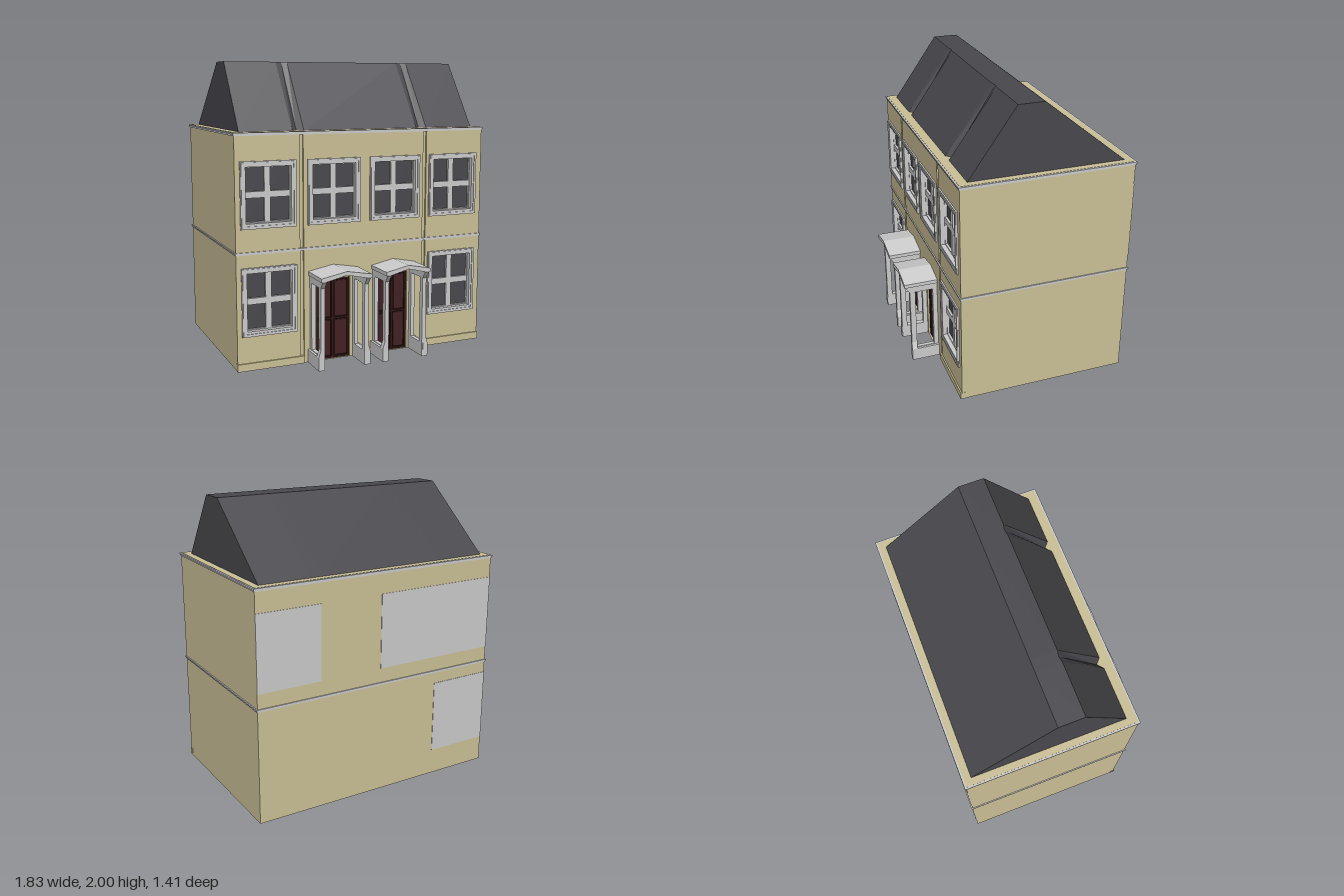
import * as THREE from 'three';

const mat = (name, color) => {
  const m = new THREE.MeshStandardMaterial({ color });
  m.name = name;
  return m;
};

export function createModel() {
  const house = new THREE.Group();
  house.name = 'terraceHouses';
  const render = mat('creamRender', 0xcbc097);
  const slate = mat('darkSlate', 0x49484d);
  const trim = mat('paleGreyTrim', 0xcccccc);
  const doorRed = mat('darkRedDoor', 0x422022);
  const doorDark = mat('doorFrameRed', 0x2e1416);
  slate.side = THREE.DoubleSide;

  const add = (parent, name, geo, material) => {
    const m = new THREE.Mesh(geo, material);
    m.name = name;
    parent.add(m);
    return m;
  };
  // Box given by its limits on each axis
  const box = (parent, name, material, [x0, x1], [y0, y1], [z0, z1]) => {
    const g = new THREE.BoxGeometry(x1 - x0, y1 - y0, z1 - z0);
    g.translate((x0 + x1) / 2, (y0 + y1) / 2, (z0 + z1) / 2);
    return add(parent, name, g, material);
  };
  const poly = (pts) => pts.map(([x, y]) => new THREE.Vector2(x, y));
  const rect = (x0, x1, y0, y1) => poly([[x0, y0], [x1, y0], [x1, y1], [x0, y1]]);
  // Flat shape with holes, extruded from z0 to z1
  const slab = (outline, holes, z0, z1) => {
    const s = new THREE.Shape(outline);
    holes.forEach((h) => s.holes.push(new THREE.Path(h)));
    return new THREE.ExtrudeGeometry(s, { depth: z1 - z0, bevelEnabled: false }).translate(0, 0, z0);
  };

  const W = 0.908, BACK = -0.697, FRONT = 0.473, INNER = 0.4, TOP = 1.53;
  const upper = { y: 1.1525, h: 0.2175 }, lower = { y: 0.455, h: 0.228 };
  const windows = [
    { x: -0.685, ...upper }, { x: -0.227, ...upper }, { x: 0.222, ...upper }, { x: 0.675, ...upper },
    { x: -0.685, ...lower }, { x: 0.675, ...lower },
  ];
  const doors = [
    { x: -0.235, w: 0.122, porch: 0.18 },
    { x: 0.214, w: 0.11, porch: 0.165 },
  ];

  // Main body and the three front wall panels with window and door openings
  box(house, 'body', render, [-W, W], [0, TOP], [BACK, INNER]);
  const panels = [[-W, -0.47], [-0.445, 0.44], [0.465, W]];
  panels.forEach(([a, b], i) => {
    const holes = windows.filter((w) => w.x > a && w.x < b)
      .map((w) => rect(w.x - 0.16, w.x + 0.16, w.y - w.h + 0.03, w.y + w.h - 0.03));
    doors.filter((d) => d.x > a && d.x < b)
      .forEach((d) => holes.push(rect(d.x - d.w, d.x + d.w, 0.001, 0.56)));
    add(house, 'frontWall' + i, slab(rect(a, b, 0, TOP), holes, INNER, FRONT), render);
  });
  // Recessed party-line grooves and low plinths
  box(house, 'rightGroove', render, [-0.47, -0.445], [0, TOP], [INNER, 0.46]);
  box(house, 'leftGroove', render, [0.44, 0.465], [0, TOP], [INNER, 0.46]);
  box(house, 'rightPlinth', render, [-W - 0.002, -0.445], [0, 0.05], [0.45, 0.483]);
  box(house, 'leftPlinth', render, [0.44, W + 0.002], [0, 0.05], [0.45, 0.483]);

  // Mouldings around the walls and the ledge inside the cornice
  const band = (name, y0, y1, out) =>
    box(house, name, trim, [-W - out, W + out], [y0, y1], [BACK - out, FRONT + out]);
  band('stringCourseLower', 0.768, 0.777, 0.004);
  band('stringCourseUpper', 0.777, 0.786, 0.008);
  band('corniceLower', 1.53, 1.54, 0.004);
  band('corniceUpper', 1.54, 1.55, 0.008);
  box(house, 'roofLedge', render, [-W + 0.004, W - 0.004], [1.545, 1.552], [BACK + 0.004, FRONT - 0.004]);

  // Roof: cross-sections along x, dipping into a valley at each party line
  const V = 0.455;
  const stations = [[-0.857, 0], [-V - 0.04, 0], [-V, 1], [-V + 0.04, 0],
    [V - 0.04, 0], [V, 1], [V + 0.04, 0], [0.857, 0]];
  const section = ([x, dip]) => [
    [x, 1.548, 0.41 - 0.035 * dip], [x, 2, 0.09 - 0.008 * dip], [x, 2, -0.085], [x, 1.548, -0.65]];
  const verts = [];
  const quad = (a, b, c, d) => verts.push(...a, ...b, ...c, ...a, ...c, ...d);
  const rings = stations.map(section);
  for (let i = 0; i < rings.length - 1; i++) {
    for (let j = 0; j < 4; j++) {
      const k = (j + 1) % 4;
      quad(rings[i][j], rings[i + 1][j], rings[i + 1][k], rings[i][k]);
    }
  }
  quad(...rings[0]);
  quad(...[...rings[rings.length - 1]].reverse());
  const roof = new THREE.BufferGeometry();
  roof.setAttribute('position', new THREE.Float32BufferAttribute(verts, 3));
  roof.computeVertexNormals();
  add(house, 'roof', roof, slate);

  // Windows: stepped surround, four-pane sash and glass
  windows.forEach((w, i) => {
    const g = new THREE.Group();
    g.name = 'window' + i;
    g.position.set(w.x, w.y, 0);
    house.add(g);
    const inset = (t) => rect(-0.19 + t, 0.19 - t, -w.h + t, w.h - t);
    add(g, 'surround', slab(inset(0), [inset(0.036)], 0.44, 0.483), trim);
    add(g, 'surroundRim', slab(inset(0.006), [inset(0.02)], 0.483, 0.489), trim);
    const panes = [];
    for (const sx of [-1, 1]) for (const sy of [-1, 1]) {
      const px = sx * 0.085, py = sy * (w.h - 0.022) / 2, ph = (w.h - 0.064) / 2;
      panes.push(rect(px - 0.065, px + 0.065, py - ph, py + ph));
    }
    add(g, 'sash', slab(inset(0.03), panes, 0.435, 0.452), trim);
    box(g, 'glass', slate, [-0.158, 0.158], [-w.h + 0.032, w.h - 0.032], [0.425, 0.436]);
  });

  // Doors with four panels, each under a gabled porch
  doors.forEach((d, i) => {
    const g = new THREE.Group();
    g.name = 'entrance' + i;
    g.position.x = d.x;
    house.add(g);
    box(g, 'doorLeaf', doorDark, [-d.w, d.w], [0.002, 0.56], [0.4, 0.448]);
    const bar = (x0, x1, y0, y1) => box(g, 'doorRail', doorDark, [x0, x1], [y0, y1], [0.44, 0.46]);
    bar(-d.w, -d.w + 0.014, 0.002, 0.56);
    bar(d.w - 0.014, d.w, 0.002, 0.56);
    bar(-0.009, 0.009, 0.002, 0.56);
    for (const y of [0.002, 0.273, 0.546]) bar(-d.w, d.w, y, y + 0.014);
    for (const s of [-1, 1]) for (const y of [0.024, 0.296]) {
      const c = s * d.w / 2, pw = d.w / 2 - 0.016;
      box(g, 'doorPanel', doorRed, [c - pw, c + pw], [y, y + 0.242], [0.445, 0.454]);
    }

    const p = d.porch;
    const canopy = poly([[-p, 0.598], [-p + 0.03, 0.598], [0, 0.632], [p - 0.03, 0.598],
      [p, 0.598], [p, 0.624], [0, 0.657], [-p, 0.624]]);
    add(g, 'canopy', slab(canopy, [], FRONT, 0.706), trim);
    // Side frames: open panel with front post, sill and bracket head
    const side = poly([[0.47, 0], [0.668, 0], [0.668, 0.55], [0.704, 0.6], [0.704, 0.612], [0.47, 0.612]]);
    for (const s of [-1, 1]) {
      const frame = slab(side, [rect(0.505, 0.63, 0.095, 0.55)], -0.014, 0.014).rotateY(-Math.PI / 2);
      add(g, 'porchSide', frame, trim).position.x = s * (p - 0.024);
      const base = slab(poly([[-0.018, 0], [0.018, 0], [0.018, 0.09], [-0.018, 0.09]]), [], 0.47, 0.67);
      add(g, 'porchBase', base, trim).position.x = s * (p - 0.012);
      const o = s * (p + 0.006), n = s * (p - 0.02);
      const flare = s > 0 ? [[n, 0.09], [o, 0.09], [n + 0.01, 0.14], [n, 0.14]]
        : [[o, 0.09], [n, 0.09], [n, 0.14], [n - 0.01, 0.14]];
      add(g, 'postFlare', slab(poly(flare), [], 0.632, 0.67), trim);
    }
  });

  // Flat grey panels on the back wall
  [[0.455, W, 0.885, 1.395], [-W, 0, 0.885, 1.395], [-W, -0.455, 0.18, 0.69]].forEach(([x0, x1, y0, y1]) =>
    box(house, 'backPanel', trim, [x0, x1], [y0, y1], [BACK - 0.003, BACK + 0.003]));

  return house;
}
